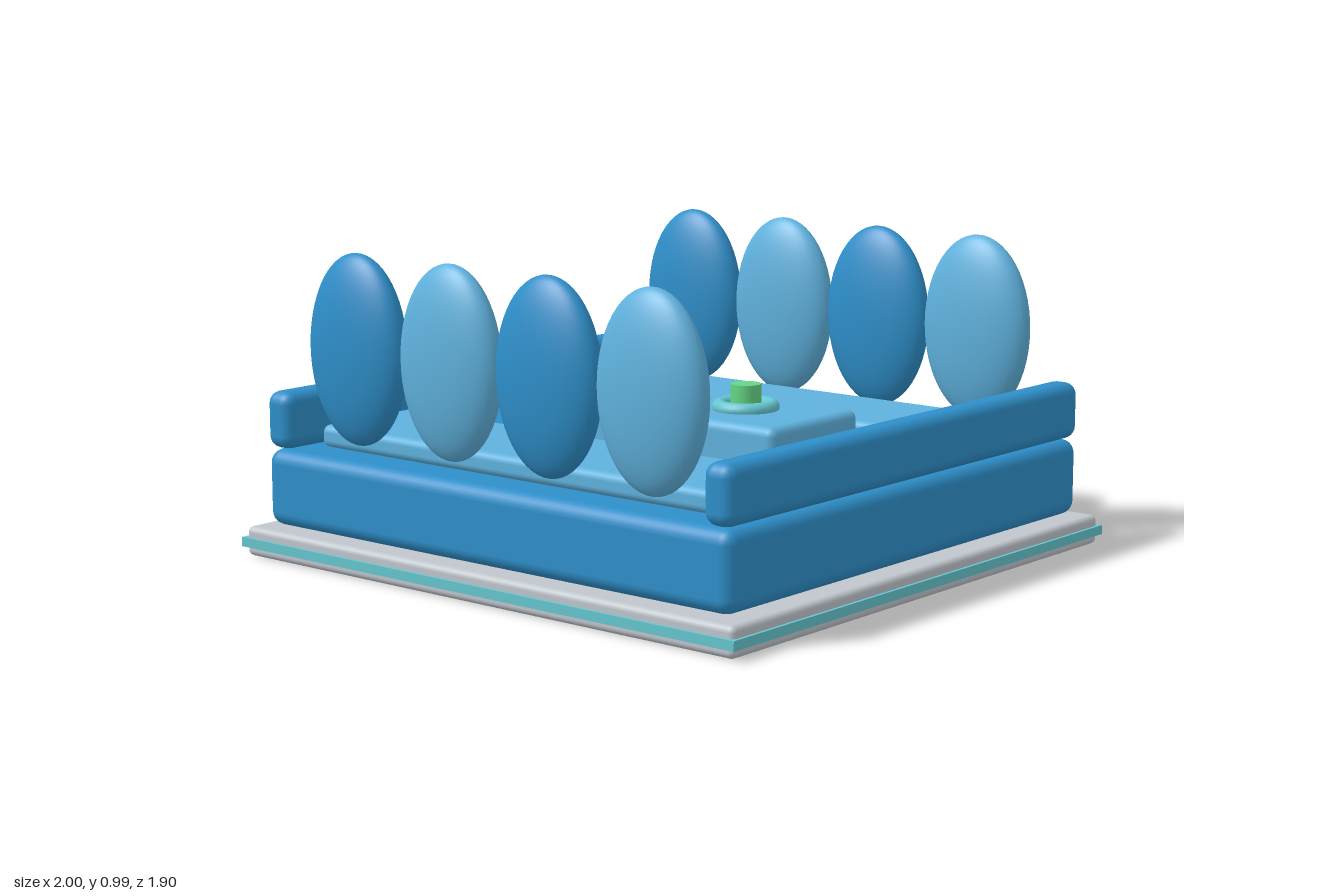
import * as THREE from 'three';
import { RoundedBoxGeometry } from 'three/addons/geometries/RoundedBoxGeometry.js';

const material = (name, color) => {
  const m = new THREE.MeshStandardMaterial({ color });
  m.name = name;
  return m;
};

export function createModel() {
  const group = new THREE.Group();
  const blue = material('deep blue', 0x2e8fca);
  const sky = material('light blue', 0x5fb2de);
  const grey = material('pale grey', 0xc0c6cd);
  const teal = material('teal', 0x66c6d0);
  const pink = material('pink', 0xd836a8);
  const gold = material('gold', 0xd6b455);
  const green = material('green', 0x64d684);

  const add = (name, geometry, mat, x, y, z) => {
    const mesh = new THREE.Mesh(geometry, mat);
    mesh.name = name;
    mesh.position.set(x, y, z);
    group.add(mesh);
    return mesh;
  };
  // Rounded box given by its width, depth and bottom and top heights
  const block = (name, mat, w, d, y0, y1, r, x = 0, z = 0) =>
    add(name, new RoundedBoxGeometry(w, y1 - y0, d, 3, r), mat, x, (y0 + y1) / 2, z);

  // Base plate with its trim band
  block('basePlate', grey, 1.98, 1.88, 0, 0.095, 0.02);
  add('trimBand', new THREE.BoxGeometry(2, 0.03, 1.9), teal, 0, 0.045, 0);

  // Platform and side arms
  block('platform', blue, 1.88, 1.79, 0.1, 0.345, 0.045);
  for (const s of [-1, 1]) {
    block(s > 0 ? 'leftArm' : 'rightArm', blue, 0.106, 1.79, 0.348, 0.53, 0.04, s * 0.887);
  }

  // Two facing benches, each with four oval back cushions
  const oval = new THREE.SphereGeometry(1, 40, 28);
  for (const s of [1, -1]) {
    const end = s > 0 ? 'front' : 'back';
    block(end + 'Bench', sky, 1.65, 0.4, 0.345, 0.417, 0.025, 0, s * 0.565);
    for (let i = 0; i < 4; i++) {
      const cushion = add(end + 'Cushion' + (i + 1), oval, i % 2 ? sky : blue,
        (i - 1.5) * 0.396, 0.685, s * 0.812);
      cushion.scale.set(0.198, 0.3, 0.082);
    }
  }

  // Table with three ringed cup holders and cups
  block('table', sky, 1.12, 0.44, 0.345, 0.49, 0.03);
  const ring = new THREE.TorusGeometry(0.083, 0.023, 14, 40).rotateX(Math.PI / 2);
  const cup = new THREE.CylinderGeometry(0.048, 0.048, 0.085, 28);
  [pink, gold, green].forEach((mat, i) => {
    const x = (i - 1) * 0.283;
    add('cupRing' + (i + 1), ring, teal, x, 0.498, 0);
    add('cup' + (i + 1), cup, mat, x, 0.5275, 0);
  });

  return group;
}
